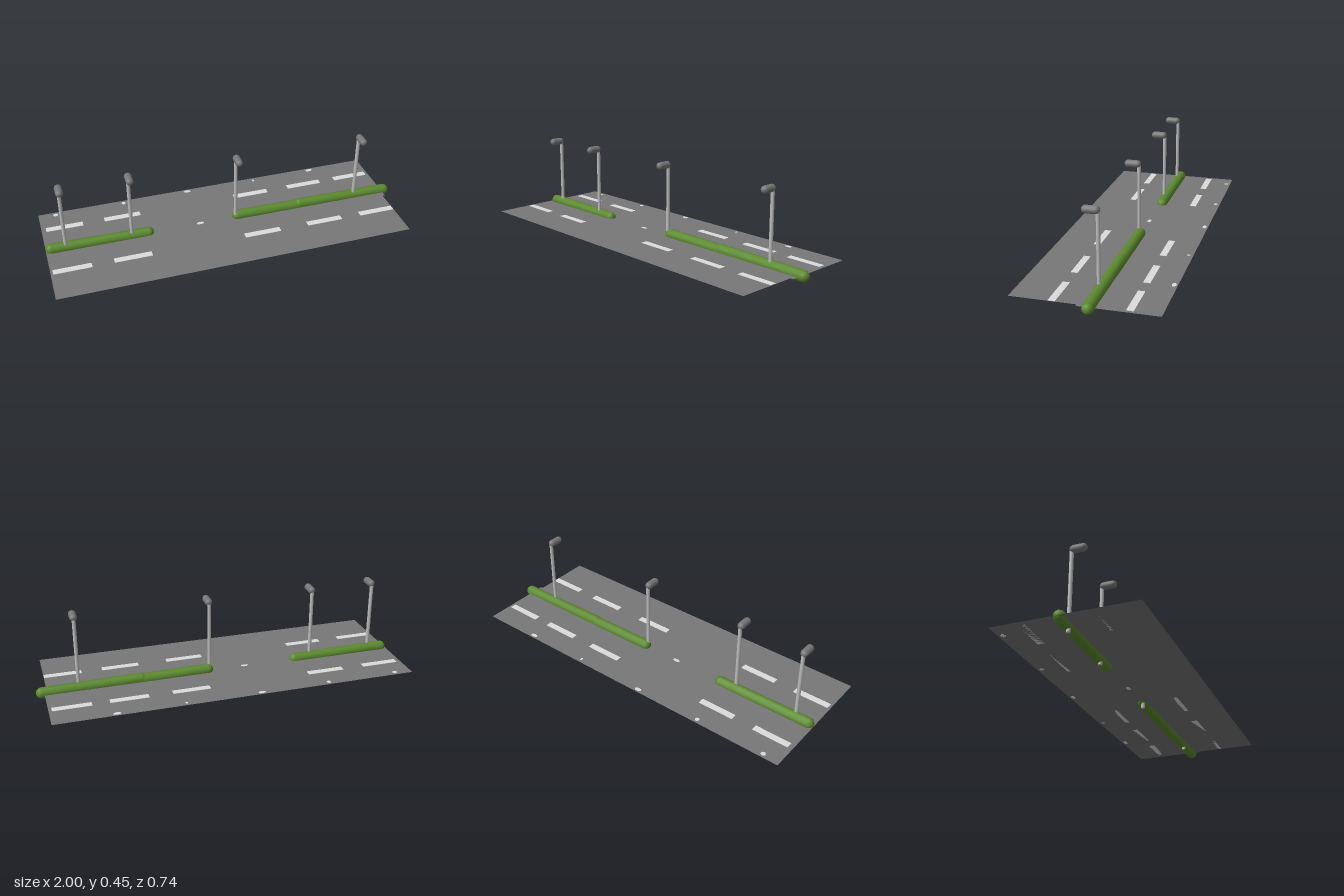
import * as THREE from 'three';

const ROAD_Y = 0.035;

export function createModel() {
  const model = new THREE.Group();
  model.name = 'dividedRoad';

  const asphalt = new THREE.MeshStandardMaterial({ name: 'asphalt grey', color: 0x777777, side: THREE.DoubleSide });
  const paint = new THREE.MeshStandardMaterial({ name: 'road paint', color: 0xdcdcdc });
  const leaf = new THREE.MeshStandardMaterial({ name: 'hedge green', color: 0x5c8a2e });
  const steel = new THREE.MeshStandardMaterial({ name: 'pole grey', color: 0xbcbcbc });
  const lampGrey = new THREE.MeshStandardMaterial({ name: 'lamp grey', color: 0x777777 });

  const add = (name, geometry, material, x, y, z, parent = model) => {
    const mesh = new THREE.Mesh(geometry, material);
    mesh.name = name;
    mesh.position.set(x, y, z);
    parent.add(mesh);
    return mesh;
  };

  // Road surface: two sheets, the rear one slightly longer
  const sheet = (name, x0, x1, z0, z1) => add(name,
    new THREE.PlaneGeometry(x1 - x0, z1 - z0).rotateX(-Math.PI / 2), asphalt,
    (x0 + x1) / 2, ROAD_Y, (z0 + z1) / 2);
  sheet('rearCarriageway', -1, 0.957, -0.37, 0.03);
  sheet('frontCarriageway', -1, 0.942, 0.03, 0.365);

  // Dashed lane lines
  const dash = new THREE.BoxGeometry(0.204, 0.002, 0.036);
  const rows = [
    { name: 'rearLaneDash', z: -0.22, xs: [-0.873, -0.549, 0.211, 0.542, 0.838] },
    { name: 'frontLaneDash', z: 0.152, xs: [-0.885, -0.564, 0.158, 0.522, 0.838] },
  ];
  for (const { name, z, xs } of rows) {
    for (const x of xs) add(name, dash, paint, x, ROAD_Y + 0.001, z);
  }

  // Small worn paint patches: [x, z, half width, half depth]
  const patches = [
    [-0.906, -0.346, 0.014, 0.013], [-0.516, -0.346, 0.012, 0.013], [-0.136, -0.351, 0.021, 0.012],
    [0.27, -0.346, 0.007, 0.01], [0.63, -0.351, 0.022, 0.012], [-0.145, -0.031, 0.022, 0.011],
  ];
  for (const [x, z, rx, rz] of patches) {
    add('paintPatch', new THREE.CylinderGeometry(1, 1, 0.002, 7).scale(rx, 1, rz), paint, x, ROAD_Y, z);
  }

  // Median hedges, gently tilted; the two on the left overlap into one long run
  const hedge = new THREE.CapsuleGeometry(0.03, 0.53, 4, 12).rotateZ(Math.PI / 2);
  for (const x of [-0.705, 0.335, 0.705]) {
    add('hedge', hedge, leaf, x, 0.041, -0.033).rotation.z = -0.013;
  }

  // Street lamps
  const pole = new THREE.CylinderGeometry(0.01, 0.01, 0.435, 12);
  const head = new THREE.CapsuleGeometry(0.02, 0.05, 6, 14).rotateX(Math.PI / 2);
  for (const x of [-0.893, -0.533, 0.057, 0.775]) {
    const lamp = new THREE.Group();
    lamp.name = 'streetLamp';
    lamp.position.x = x;
    add('lampPole', pole, steel, 0, 0.2175, -0.024, lamp);
    add('lampHead', head, lampGrey, 0, 0.434, 0.01, lamp);
    model.add(lamp);
  }

  return model;
}
